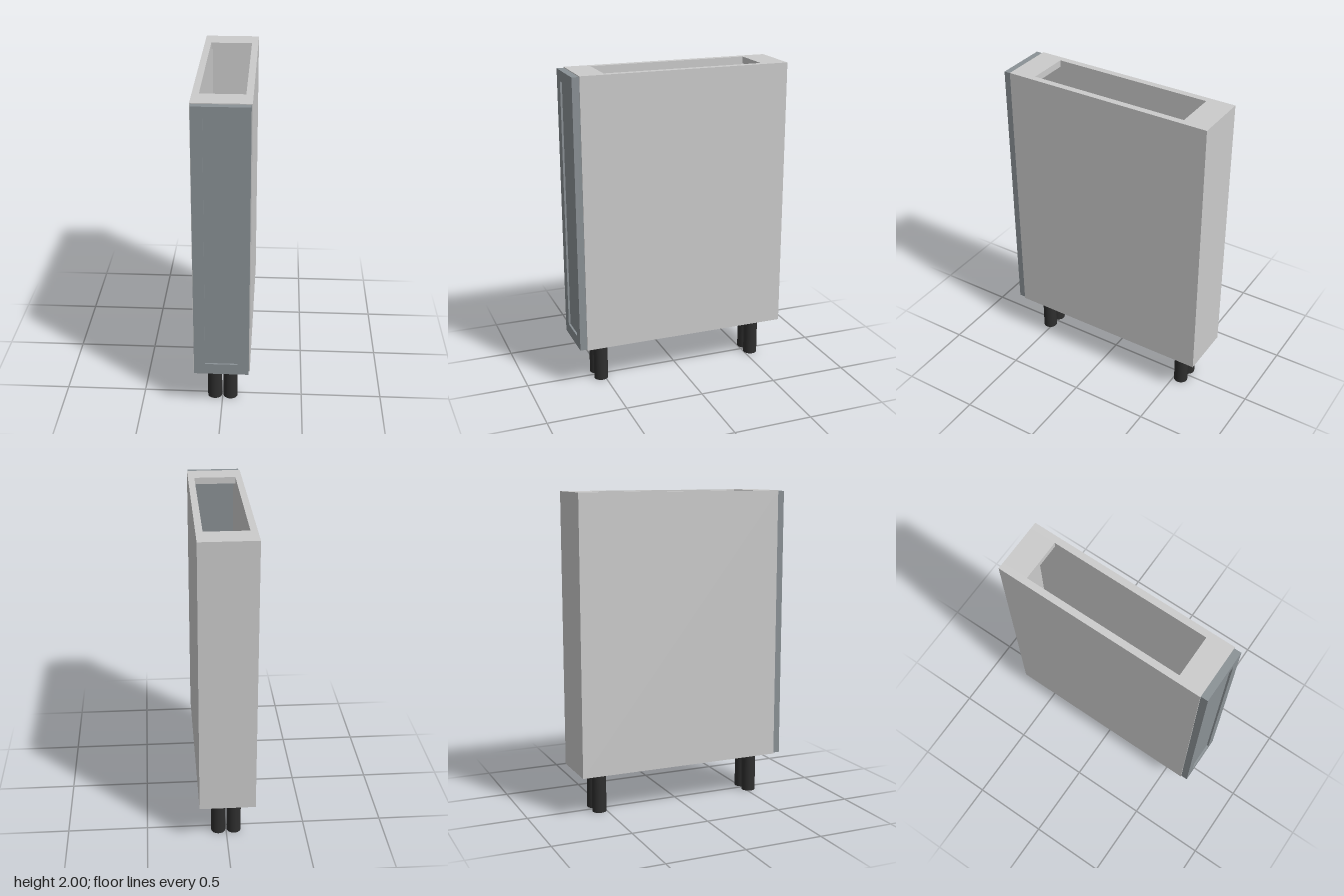
import * as THREE from 'three';

const bodyMat = new THREE.MeshStandardMaterial({ color: 0xcccccc });
const doorMat = new THREE.MeshStandardMaterial({ color: 0x8a9195 });
const legMat = new THREE.MeshStandardMaterial({ color: 0x2e2e2e });

// Box given by its minimum and maximum corners
function box(name, mat, [x0, y0, z0], [x1, y1, z1]) {
  const mesh = new THREE.Mesh(new THREE.BoxGeometry(x1 - x0, y1 - y0, z1 - z0), mat);
  mesh.position.set((x0 + x1) / 2, (y0 + y1) / 2, (z0 + z1) / 2);
  mesh.name = name;
  return mesh;
}

// Closed rectangle centred on x = 0
function rectangle(target, halfWidth, y0, y1) {
  target.moveTo(-halfWidth, y0);
  target.lineTo(halfWidth, y0);
  target.lineTo(halfWidth, y1);
  target.lineTo(-halfWidth, y1);
  target.closePath();
  return target;
}

export function createModel() {
  const model = new THREE.Group();
  model.name = 'baseCabinet';

  const outer = 0.173, inner = 0.132; // half widths of the carcass
  const bottom = 0.265, top = 2, board = 0.042;
  const back = -0.69, front = 0.645, doorFront = 0.69;

  // Carcass: sides, floor, thin back and two top rails
  const carcass = new THREE.Group();
  carcass.name = 'carcass';
  carcass.add(
    box('leftSide', bodyMat, [inner, bottom, back], [outer, top, front]),
    box('rightSide', bodyMat, [-outer, bottom, back], [-inner, top, front]),
    box('floorPanel', bodyMat, [-inner, bottom, back], [inner, bottom + board, front]),
    box('backPanel', bodyMat, [-inner, bottom + board, back], [inner, top - board, back + 0.022]),
    box('frontRail', bodyMat, [-inner, top - board, 0.487], [inner, top, front]),
    box('backRail', bodyMat, [-inner, top - board, back], [inner, top, -0.525])
  );
  model.add(carcass);

  // Door: raised frame around a recessed panel
  const door = new THREE.Group();
  door.name = 'door';
  const outline = rectangle(new THREE.Shape(), 0.167, 0.27, 1.995);
  outline.holes.push(rectangle(new THREE.Path(), 0.099, 0.34, 1.928));
  const frame = new THREE.Mesh(
    new THREE.ExtrudeGeometry(outline, { depth: doorFront - front, bevelEnabled: false }),
    doorMat
  );
  frame.position.z = front;
  frame.name = 'doorFrame';
  door.add(frame, box('doorPanel', doorMat, [-0.099, 0.34, front], [0.099, 1.928, doorFront - 0.012]));
  model.add(door);

  // Four round legs
  const legGeo = new THREE.CylinderGeometry(0.045, 0.045, bottom, 32);
  for (const x of [-0.049, 0.049]) {
    for (const z of [0.524, -0.544]) {
      const leg = new THREE.Mesh(legGeo, legMat);
      leg.position.set(x, bottom / 2, z);
      leg.name = (z > 0 ? 'front' : 'back') + (x > 0 ? 'Left' : 'Right') + 'Leg';
      model.add(leg);
    }
  }
  return model;
}
